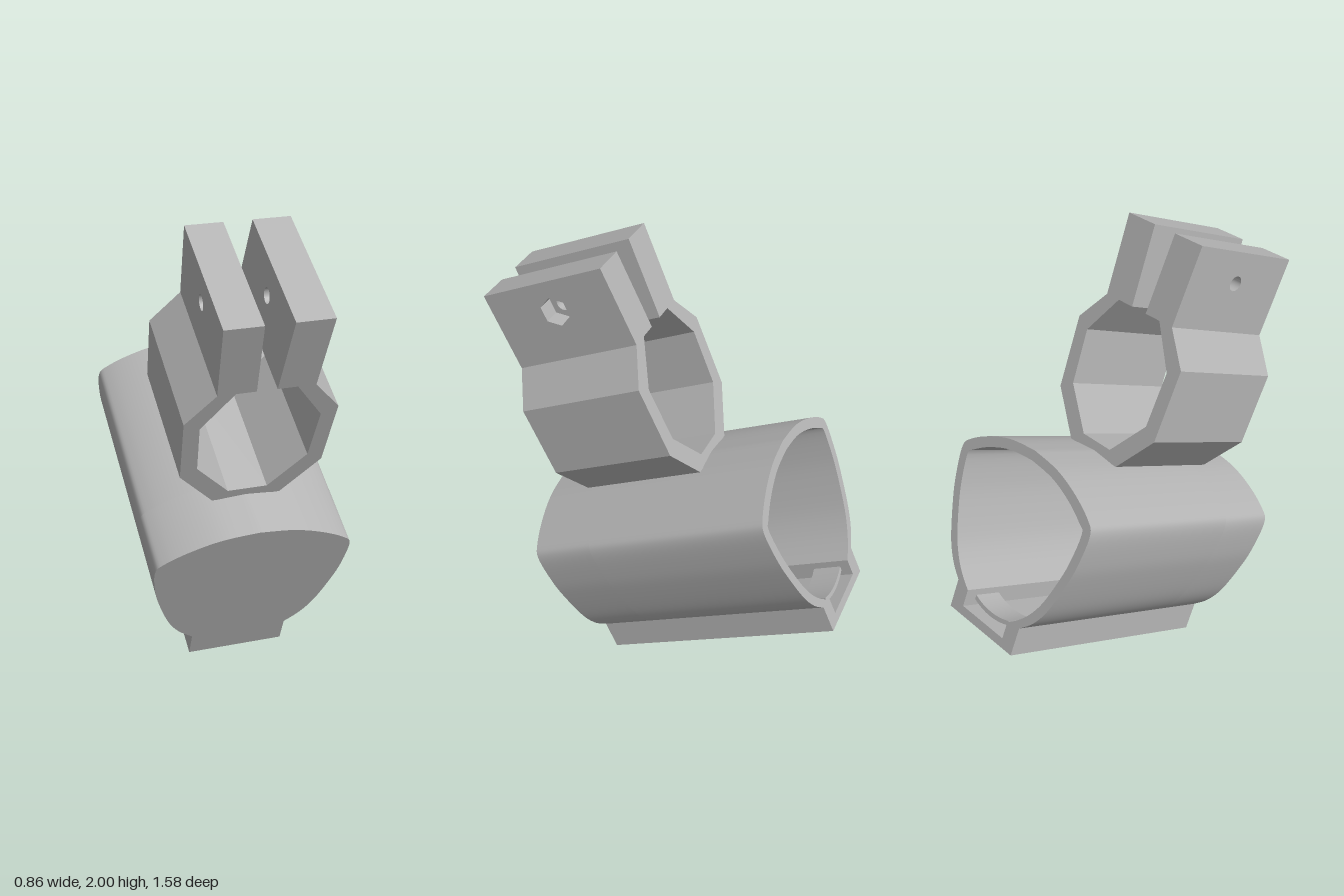
import * as THREE from 'three';
import { toCreasedNormals } from 'three/addons/utils/BufferGeometryUtils.js';

const V = (x, y) => new THREE.Vector2(x, y);
const TILT = 0.4084, LENGTH = 1.133, FRONT = 0.283;

// Right half of a section -> full closed outline, mirrored across x = 0
function mirrored(half) {
  const left = half.filter(p => p.x > 1e-4).map(p => V(-p.x, p.y)).reverse();
  return [...half, ...left];
}

// Smooth half section running from the lower side up to the crown
function smooth(points, n = 32) {
  return new THREE.SplineCurve(points.map(p => V(...p))).getPoints(n);
}

function outerOutline() {
  const side = smooth([[0.215, 0.13], [0.28, 0.19], [0.335, 0.278], [0.388, 0.425], [0.415, 0.534],
    [0.427, 0.672], [0.39, 0.725], [0.28, 0.787], [0.15, 0.831], [0, 0.848]], 44);
  return mirrored([V(0.215, 0), ...side]);
}

function innerOutline() {
  const side = smooth([[0.14, 0.118], [0.19, 0.155], [0.245, 0.212], [0.297, 0.297], [0.347, 0.435], [0.372, 0.54],
    [0.383, 0.66], [0.355, 0.69], [0.265, 0.743], [0.14, 0.788], [0, 0.804]], 44);
  return mirrored([V(0.14, 0.04), ...side]);
}

// Extrude a section lengthwise between two depths
function extrude(points, holes, from, to, crease = 0.5) {
  const shape = new THREE.Shape(points);
  holes.forEach(h => shape.holes.push(new THREE.Path(h)));
  const g = new THREE.ExtrudeGeometry(shape, { depth: to - from, bevelEnabled: false });
  g.translate(0, 0, from);
  return toCreasedNormals(g, crease);
}

function ngon(cx, cy, r, sides, turn = 0) {
  return Array.from({ length: sides }, (_, i) => {
    const a = turn + (i / sides) * Math.PI * 2;
    return V(cx + r * Math.cos(a), cy + r * Math.sin(a));
  });
}

// Upright clamp plate with a cross hole, leaning slightly outward
function plate(x0, x1, side, hole) {
  const shape = new THREE.Shape([V(0.205, 1.487), V(0.787, 1.487), V(0.787, 1.84), V(0.205, 1.84)]);
  shape.holes.push(new THREE.Path(hole));
  const g = new THREE.ExtrudeGeometry(shape, { depth: x1 - x0, bevelEnabled: false });
  g.rotateY(Math.PI / 2);
  g.translate(x0, 0, 0);
  const p = g.attributes.position;
  for (let i = 0; i < p.count; i++) p.setX(i, p.getX(i) + side * 0.05 * (p.getY(i) - 1.487));
  return toCreasedNormals(g, 0.5);
}

export function createModel() {
  const model = new THREE.Group();
  model.name = 'clampHolder';
  const grey = new THREE.MeshStandardMaterial({ color: 0xb4b4b4 });
  grey.name = 'plain grey';

  const tilted = new THREE.Group();
  tilted.name = 'tiltedAssembly';
  tilted.rotation.x = TILT;
  tilted.position.z = 0.25;
  model.add(tilted);
  const add = (name, geometry) => {
    const m = new THREE.Mesh(geometry, grey);
    m.name = name;
    tilted.add(m);
  };

  // Socket: hollow sleeve open at the back, closed nose at the front
  const outer = outerOutline(), inner = innerOutline();
  add('socketSleeve', extrude(outer, [inner], -LENGTH, -FRONT));
  add('socketNose', extrude(outer, [], -FRONT, 0));

  // Narrow stop ledge at the bottom of the socket
  const ledge = inner.map(p => V(p.x * 0.9, 0.45 + (p.y - 0.45) * 0.9));
  add('socketLedge', extrude(inner, [ledge], -FRONT - 0.04, -FRONT));

  // Curved catch in the floor channel
  const arc = [-1, -0.75, -0.5, -0.25, 0, 0.25, 0.5, 0.75, 1];
  const catchTop = arc.map(t => V(0.115 * t, 0.085 + 0.02 * t * t));
  const catchBottom = arc.map(t => V(0.115 * t, 0.065 + 0.02 * t * t)).reverse();
  add('floorCatch', extrude([...catchTop, ...catchBottom], [], -1.1, -0.97));

  // Octagonal clamp ring, open at the top
  const right = [V(0.125, 1.487), V(0.2, 1.487), V(0.318, 1.342), V(0.303, 1.02), V(0.147, 0.836)];
  const bore = [V(0.085, 0.887), V(0.235, 1.061), V(0.25, 1.306), V(0.125, 1.487)];
  const flip = pts => pts.map(p => V(-p.x, p.y)).reverse();
  add('clampRing', extrude([...right, ...flip(right), ...flip(bore), ...bore.slice(0, 3)], [], -0.787, -0.205, 0.2));

  // Clamp plates: round bolt hole through both, hexagonal nut pocket on one side
  const bolt = ngon(0.497, 1.703, 0.033, 24);
  const nut = ngon(0.497, 1.703, 0.065, 6, Math.PI / 6);
  add('rightPlate', plate(-0.2, -0.042, -1, bolt));
  add('leftPlateInner', plate(0.042, 0.12, 1, bolt));
  add('leftPlateNutPocket', plate(0.12, 0.2, 1, nut));

  return model;
}
